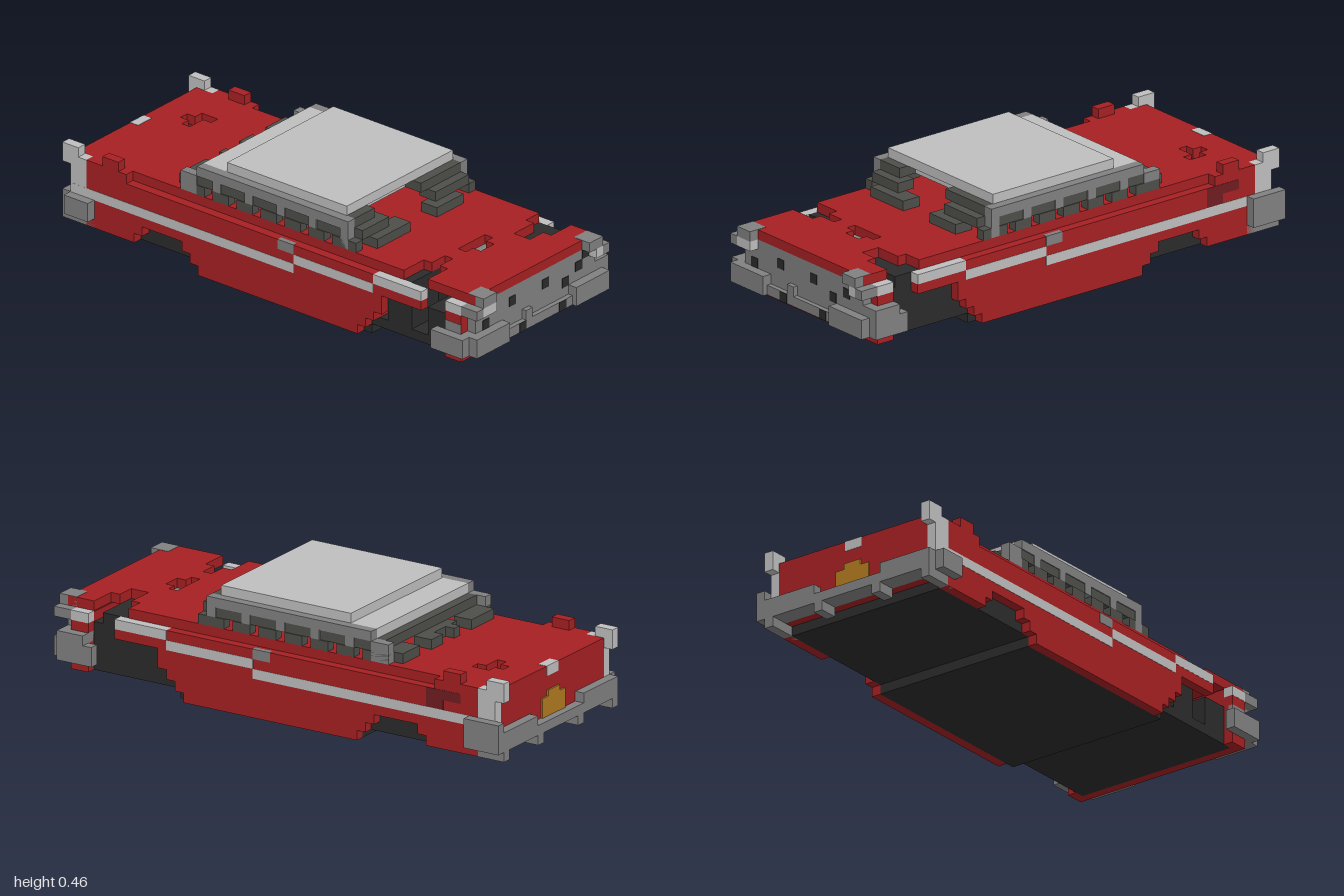
import * as THREE from 'three';

const U = 1 / 26; // one block
const mat = (name, color) => Object.assign(new THREE.MeshStandardMaterial({ color }), { name });

export function createModel() {
  const car = new THREE.Group();
  car.name = 'car';
  const red = mat('body red', 0xa62022), darkRed = mat('dark red', 0x701c20);
  const light = mat('light chrome', 0xbebebe), grey = mat('grey chrome', 0x808080);
  const black = mat('underbody black', 0x2b2b2b), glass = mat('window grey', 0x4d4e49);
  const gold = mat('plate gold', 0xb07a20);

  // Block given by its limits, counted in blocks
  const box = (name, m, x0, x1, y0, y1, z0, z1) => {
    const g = new THREE.BoxGeometry((x1 - x0) * U, (y1 - y0) * U, (z1 - z0) * U);
    g.translate((x0 + x1) / 2 * U, (y0 + y1) / 2 * U, (z0 + z1) / 2 * U);
    const mesh = new THREE.Mesh(g, m);
    mesh.name = name;
    car.add(mesh);
  };
  // The same block on both sides
  const pair = (name, m, x0, x1, ...rest) => {
    box(name + 'Left', m, x0, x1, ...rest);
    box(name + 'Right', m, -x1, -x0, ...rest);
  };
  const path = (pts, C = THREE.Shape) => new C(pts.map(([a, b]) => new THREE.Vector2(a * U, b * U)));
  const extrude = (name, m, shape) => {
    const mesh = new THREE.Mesh(new THREE.ExtrudeGeometry(shape, { depth: U, bevelEnabled: false }), m);
    mesh.name = name;
    car.add(mesh);
    return mesh;
  };

  // Underbody and core
  box('floorPan', black, -9, 9, 0, 1, -9, 12);
  box('frontFloor', black, -9, 9, 1, 2, 12, 23);
  box('rearFloor', black, -9, 9, 1, 2, -23, -9);
  box('cabinCore', red, -9, 9, 1, 6.9, -9, 13);
  box('rearCore', black, -9, 9, 2, 6.9, -17, -9);
  box('trunkCore', red, -9, 9, 2, 6.9, -24, -17);
  box('engineCore', black, -5, 9, 2, 5.9, 13, 22);
  box('rightWheel', black, -9, -5, 2, 5, 14, 17);
  box('rightWheelFront', black, -9, -5, 2, 5, 19, 22);
  box('rightWheelTop', black, -9, -4, 5, 7, 15, 17);
  box('leftWheelTop', black, 4, 9, 5, 7, 18, 21);
  box('engineTop', grey, -3, 3, 5.9, 6.5, 16, 20);
  box('noseCore', red, -9, 9, 2, 6.9, 22, 24);
  box('frontSill', red, -9, 9, 1, 2, 23, 24);

  // Side panels with both wheel arches cut out
  const side = [[24, 6], [24, 1], [22, 1], [22, 7], [19, 7], [19, 5], [14, 5], [14, 3], [13, 3], [13, 2],
    [12, 2], [12, 1], [11, 1], [11, 0], [-9, 0], [-9, 1], [-10, 1], [-10, 2], [-11, 2], [-11, 3],
    [-16, 3], [-16, 2], [-17, 2], [-17, 1], [-23, 1], [-23, 8], [-18, 8], [-18, 7], [13, 7], [13, 6], [19, 6],
    [19, 7], [22, 7], [22, 6]];
  // Keep the outline simple: the front fender is a block of its own
  const outline = side.filter(([z]) => z < 19).concat([[18.99, 6], [18.99, 5]]);
  for (const [name, x] of [['sidePanelLeft', 9], ['sidePanelRight', -10]]) {
    const panel = extrude(name, red, path(outline.filter(([z]) => z < 18.98)
      .reduce((a, p) => a.concat([p]), [[19, 6], [19, 5]])));
    panel.rotation.y = -Math.PI / 2;
    panel.position.x = (x + 1) * U;
  }
  pair('frontFender', red, 9, 10, 1, 6, 22, 24);

  // Upper deck with stepped pits and gaps over the front wheels
  const deck = path([[-9, -25], [9, -25], [9, 18], [7, 18], [7, 19], [4, 19], [4, 21], [6, 21], [6, 22],
    [9, 22], [9, 25], [-9, 25], [-9, 19], [-6, 19], [-6, 18], [-4, 18], [-4, 17], [-6, 17], [-6, 16], [-9, 16]]);
  deck.holes.push(
    path([[-2, 17], [2, 17], [2, 18], [1, 18], [1, 19], [-1, 19], [-1, 18], [-2, 18]], THREE.Path),
    path([[3, -23], [4, -23], [4, -22], [5, -22], [5, -20], [4, -20], [4, -21], [2, -21], [2, -22], [3, -22]]
      .map(([a, b]) => [a, b + 1]), THREE.Path));
  const top = extrude('upperDeck', red, deck);
  top.rotation.x = Math.PI / 2;
  top.position.y = 8 * U;
  box('trunkPit', darkRed, 1, 6, 6.9, 7, -23, -18);

  // Trim strips and handles
  pair('frontTrim', light, 9, 10.02, 6, 7, 13, 19);
  pair('middleTrim', light, 9.5, 10.03, 5, 6, 3, 13);
  pair('rearTrim', light, 9.5, 10.03, 4, 5, -25, 3);
  pair('doorHandle', grey, 9.5, 10.03, 6, 7.03, 1, 3);
  box('upperTailMark', darkRed, 9.9, 10.03, 6, 7, -21, -17);
  box('lowerTailMark', darkRed, 9.9, 10.03, 5, 6, -19, -17);

  // Tail fins and rear end
  pair('redFin', red, 9, 10, 8, 9, -21, -19);
  pair('finColumn', light, 9, 10.02, 4, 8, -25, -23);
  pair('finTip', light, 9, 10.02, 7, 9, -26, -24);
  box('rearPanel', red, -9, 9, 3, 7, -25, -24);
  box('trunkHandle', light, -1, 1, 7, 8.03, -25.03, -24);
  box('plate', gold, -2, 2, 3, 5, -25.2, -25);
  box('plateTop', gold, -1, 1, 5, 5.6, -25.2, -25);
  box('rearBumper', grey, -9, 9, 2, 3, -26, -23);
  pair('rearBumperUpper', grey, 4, 9, 3, 4, -26, -24);
  pair('rearBumperGuard', grey, 3, 4, 1, 3, -26, -24);
  pair('rearBumperSide', grey, 9, 10, 1, 4, -26, -22);
  pair('rearBumperTip', grey, 10, 11, 2, 4, -25, -22);
  box('rearBumperCorner', grey, 10, 11, 2, 5, -26, -22);

  // Front end
  box('grille', grey, -9, 9, 3, 7, 24, 25);
  box('bumperBar', grey, -5, 5, 2, 3, 24, 25.5);
  box('bumperStep', grey, -2, -1, 3, 4, 24, 25.5);
  for (const [x, y] of [[-8, 4], [-4, 5], [1, 5], [4, 4], [6, 5], [7, 6]])
    box('grilleHole', black, x, x + 1, y, y + 1, 25, 25.06);
  for (const x of [-3, 3]) box('bumperHole', black, x, x + 1, 2, 3, 25.5, 25.56);
  pair('frontBumper', grey, 5, 10, 2, 4, 24, 26);
  pair('frontBumperSide', grey, 10, 11, 2, 4, 21, 25);
  box('bumperCorner', grey, 9, 11, 4, 5, 22, 25);
  pair('sideLamp', grey, 9, 10, 6, 7, 24, 26);
  pair('fenderTrim', light, 9, 10.02, 6, 7, 22, 24);
  pair('fenderLamp', grey, 9.5, 10.03, 3, 5, 22, 24);
  pair('headlightBrow', grey, 7, 9, 7, 8.03, 24, 26);
  box('headlightLeft', light, 8, 9, 6, 7, 25, 26);
  box('headlightRight', light, -9, -7, 6, 7, 25, 26);

  // Roof
  box('roof', light, -8, 8, 11, 12, -7, 8);
  box('roofLower', light, -8, 8, 10, 11, -10, 7);
  pair('roofRail', grey, 8, 9, 10, 11, -10, 9);
  pair('windshieldPillar', grey, 8, 9, 8, 10, 8, 9);
  pair('rearPillar', grey, 8, 9, 8, 10, -12, -10);

  // Windshield in two stepped halves
  box('windshieldTopLeft', glass, 2, 8, 10, 11, 7, 9);
  box('windshieldTopRight', glass, -8, -5, 10, 11, 7, 9);
  box('windshieldMidLeft', glass, 3, 8, 9, 10, 8, 10);
  box('windshieldMidRight', glass, -8, -4, 9, 10, 8, 10);
  box('windshieldLowLeft', glass, 2, 6, 8, 9, 9, 11);
  box('windshieldLowRight', glass, -7, -2, 8, 9, 9, 11);

  // Stepped rear window
  box('rearWindowMid', glass, -8, 8, 9, 10, -11, -10);
  box('rearWindowLow', glass, -3, 3, 8, 9, -12, -11);
  for (const [a, b] of [[-8, -4], [-2, -1], [1, 3], [5, 8]])
    box('rearWindowEdge', glass, a, b, 8, 9, -13, -11);

  // Side windows: a solid upper row and a broken lower row
  pair('sideWindowUpper', glass, 8, 8.9, 9, 10, -10, 8);
  for (const [a, b] of [[-12, -9], [-8, -6], [-5, -3], [-2, 0], [1, 3], [4, 6], [7, 10]])
    pair('sideWindowLower', glass, 8, 9, 8, 9, a, b);
  for (const z of [-8, -4, 0, 4]) pair('windowPost', grey, 8, 9, 9, 10, z, z + 1);

  return car;
}
